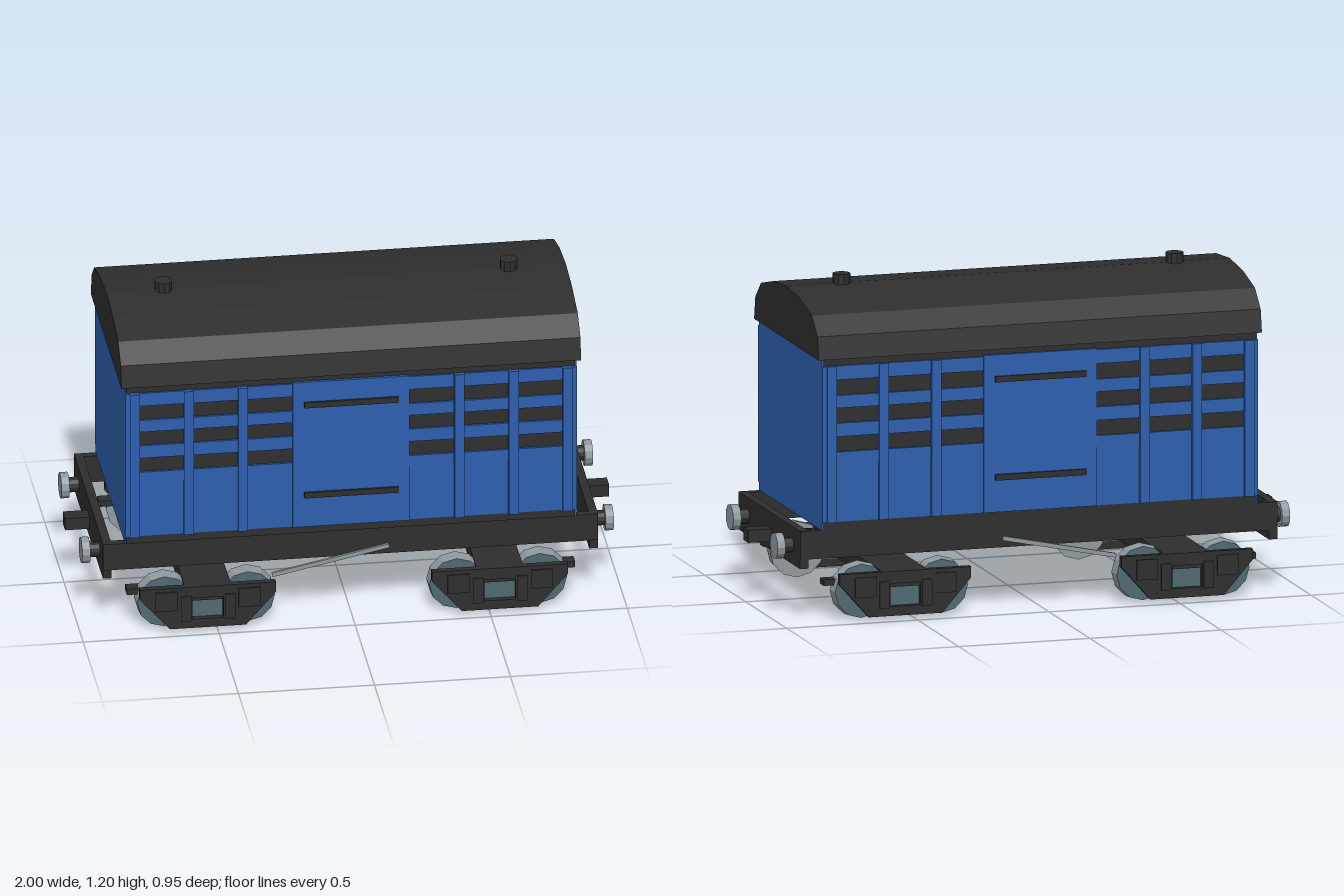
import * as THREE from 'three';

const material = (name, color, flatShading = true) => {
  const m = new THREE.MeshStandardMaterial({ color, flatShading });
  m.name = name;
  return m;
};

export function createModel() {
  const blue = material('blue paint', 0x2d5fae);
  const dark = material('dark iron', 0x2e2e2e);
  const steel = material('light steel', 0x8f999d);
  const teal = material('grey green steel', 0x4f6970);

  const model = new THREE.Group();
  model.name = 'wagon';

  const group = (name, parent = model) => {
    const g = new THREE.Group();
    g.name = name;
    parent.add(g);
    return g;
  };
  const add = (parent, name, geometry, mat) => {
    const mesh = new THREE.Mesh(geometry, mat);
    mesh.name = name;
    parent.add(mesh);
    return mesh;
  };
  // Box given by its limits on each axis, in any order
  const box = (parent, name, mat, [x0, x1], [y0, y1], [z0, z1]) => {
    const size = [x1 - x0, y1 - y0, z1 - z0].map(Math.abs);
    const mesh = add(parent, name, new THREE.BoxGeometry(...size), mat);
    mesh.position.set((x0 + x1) / 2, (y0 + y1) / 2, (z0 + z1) / 2);
    return mesh;
  };
  const shape = (pts) => new THREE.Shape(pts.map(([x, y]) => new THREE.Vector2(x, y)));

  // Curved roof, extruded along x
  const half = [[0.395, 0.965], [0.38, 1.05], [0.31, 1.115], [0.165, 1.15]];
  const profile = [...half, [0, 1.165], ...half.map(([z, y]) => [-z, y]).reverse()];
  const roofGeo = new THREE.ExtrudeGeometry(shape(profile), { depth: 1.69, bevelEnabled: false });
  roofGeo.translate(0, 0, -0.845).rotateY(Math.PI / 2);
  add(model, 'roof', roofGeo, dark);
  for (const x of [-0.635, 0.635]) {
    add(model, 'roofVent', new THREE.CylinderGeometry(0.033, 0.033, 0.06, 10), dark).position.set(x, 1.17, 0);
  }

  // Hollow body, open below
  const body = group('body');
  for (const s of [-1, 1]) {
    box(body, 'endWall', blue, [s * 0.81, s * 0.83], [0.33, 0.965], [-0.38, 0.38]);
    box(body, 'sideWall', blue, [-0.82, 0.82], [0.33, 0.965], [s * 0.36, s * 0.38]);
  }
  box(body, 'ceiling', blue, [-0.82, 0.82], [0.95, 0.964], [-0.37, 0.37]);

  // Planked sides with vent slots and sliding door
  const slots = [[0.62, 0.677], [0.727, 0.783], [0.83, 0.888]];
  for (const s of [-1, 1]) {
    const side = group(s > 0 ? 'frontSide' : 'backSide');
    box(side, 'lowerRail', dark, [-0.825, 0.825], [0.33, 0.36], [s * 0.375, s * 0.385]);
    box(side, 'upperRail', dark, [-0.825, 0.825], [0.94, 0.965], [s * 0.375, s * 0.385]);
    for (const d of [-1, 1]) {
      box(side, 'cornerPost', blue, [d * 0.808, d * 0.83], [0.36, 0.94], [s * 0.37, s * 0.395]);
      for (const x of [0.796, 0.597, 0.398]) {
        box(side, 'rib', blue, [d * (x - 0.018), d * (x + 0.018)], [0.36, 0.94], [s * 0.375, s * 0.402]);
      }
      for (const x of [0.297, 0.496, 0.696]) {
        const bay = [d * (x - 0.082), d * (x + 0.082)];
        box(side, 'ventBacking', dark, bay, [0.6, 0.9], [s * 0.378, s * 0.383]);
        box(side, 'lowerPanel', blue, bay, [0.36, 0.578], [s * 0.375, s * 0.388]);
        const edges = [0.578, ...slots.flat(), 0.94];
        for (let i = 0; i < edges.length; i += 2) {
          box(side, 'slat', blue, bay, [edges[i], edges[i + 1]], [s * 0.375, s * 0.392]);
        }
      }
    }
    box(side, 'door', blue, [-0.215, 0.215], [0.36, 0.945], [s * 0.375, s * 0.396]);
    for (const y of [0.49, 0.855]) {
      box(side, 'doorBar', dark, [-0.173, 0.173], [y - 0.011, y + 0.011], [s * 0.39, s * 0.405]);
    }
  }

  // Underframe
  const frame = group('underframe');
  for (const s of [-1, 1]) {
    box(frame, 'sideSill', dark, [-0.91, 0.91], [0.225, 0.33], [s * 0.35, s * 0.38]);
    box(frame, 'endBeam', dark, [s * 0.878, s * 0.91], [0.19, 0.33], [-0.375, 0.375]);
    box(frame, 'coupler', dark, [s * 0.9, s], [0.225, 0.272], [-0.03, 0.03]);

    // Buffers
    for (const z of [-0.27, 0.27]) {
      const buffer = group('buffer', frame);
      for (const [r, x, w, mat] of [[0.028, 0.93, 0.05, dark], [0.048, 0.962, 0.03, steel]]) {
        const part = add(buffer, r > 0.04 ? 'bufferHead' : 'bufferShank', new THREE.CylinderGeometry(r, r, w, 12), mat);
        part.rotation.z = Math.PI / 2;
        part.position.set(s * x, 0.26, z);
      }
    }

    // Sloping brake lever
    const lever = box(frame, 'brakeLever', steel, [-0.22, 0.22], [-0.008, 0.008], [-0.005, 0.005]);
    lever.position.set(-0.075, 0.215, s * 0.387);
    lever.rotation.z = Math.atan2(0.09, 0.43);
  }
  box(frame, 'brakePipe', dark, [-0.89, 0.89], [0.19, 0.21], [0.21, 0.23]);

  // Bogies
  const plateShape = shape([[-0.25, 0.18], [-0.25, 0.14], [-0.14, 0.015], [0.14, 0.015], [0.25, 0.14], [0.25, 0.18]]);
  plateShape.holes.push(shape([[-0.057, 0.05], [-0.057, 0.135], [0.057, 0.135], [0.057, 0.05]]));
  const plateGeo = new THREE.ExtrudeGeometry(plateShape, { depth: 0.025, bevelEnabled: false });
  plateGeo.translate(0, 0, -0.0125);
  const wheelGeo = new THREE.CylinderGeometry(0.1, 0.104, 0.054, 12);

  for (const d of [-1, 1]) {
    const bogie = group(d < 0 ? 'rightBogie' : 'leftBogie');
    bogie.position.x = d * 0.537;
    box(bogie, 'bolster', dark, [-0.085, 0.085], [0.12, 0.18], [-0.46, 0.46]);
    box(bogie, 'pivot', dark, [-0.075, 0.075], [0.17, 0.33], [-0.11, 0.11]);
    for (const s of [-1, 1]) {
      add(bogie, 'sideFrame', plateGeo, dark).position.z = s * 0.457;
      box(bogie, 'springPanel', teal, [-0.06, 0.06], [0.045, 0.14], [s * 0.44, s * 0.448]);
      box(bogie, 'brakeBracket', dark, [d * 0.18, d * 0.287], [0.125, 0.148], [s * 0.345, s * 0.39]);
      for (const e of [-1, 1]) {
        box(bogie, 'axleBox', dark, [e * 0.113, e * 0.193], [0.09, 0.165], [s * 0.415, s * 0.475]);
        box(bogie, 'springGuide', dark, [e * 0.062, e * 0.1], [0.045, 0.145], [s * 0.44, s * 0.475]);
        const wheel = add(bogie, 'wheel', wheelGeo, [steel, teal, steel]);
        wheel.rotation.x = s * Math.PI / 2;
        wheel.position.set(e * 0.153, 0.104, s * 0.392);
      }
    }
  }
  return model;
}
